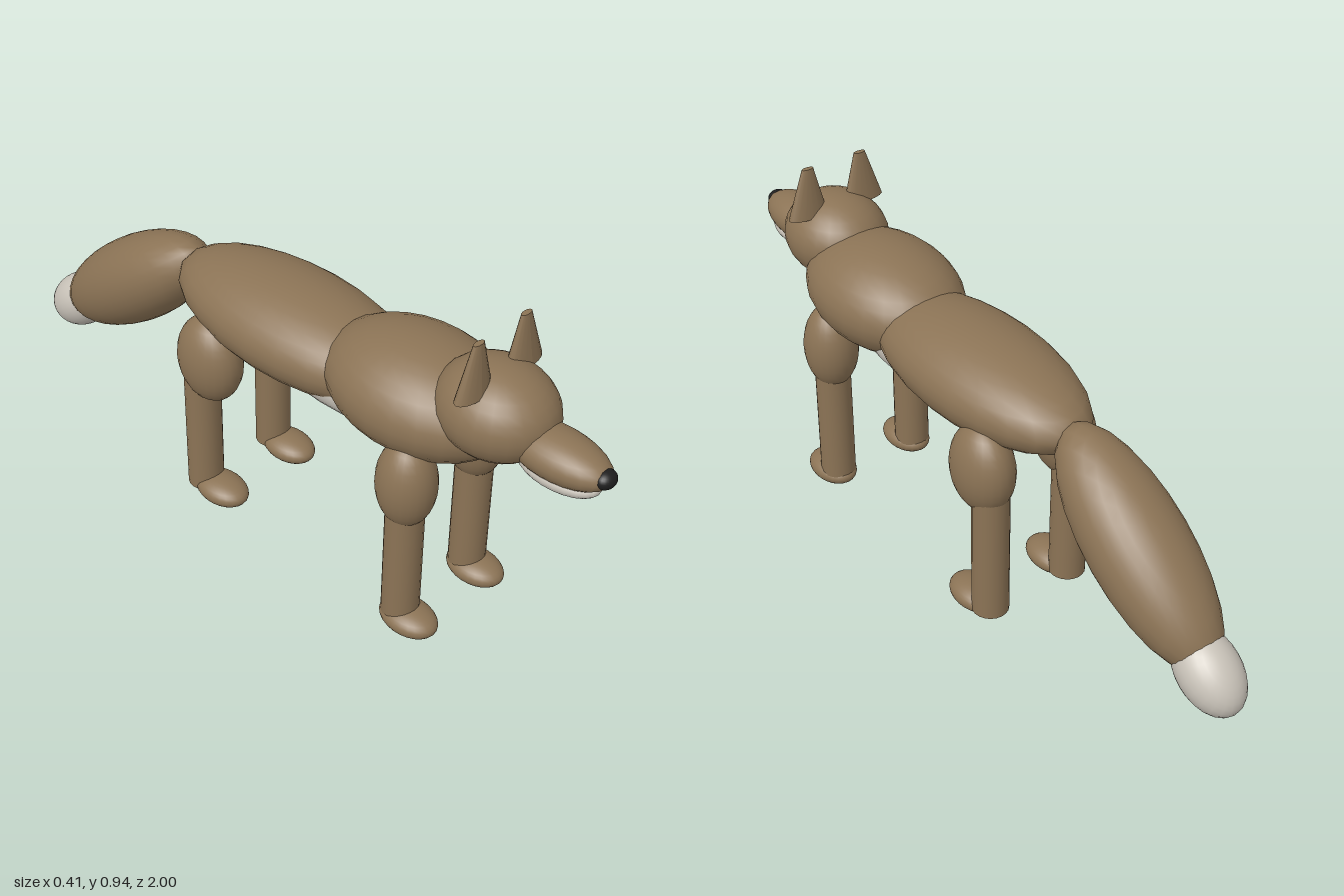
import * as THREE from 'three';

const fur = new THREE.MeshStandardMaterial({ name: 'brownFur', color: 0x8b7355 });
const pale = new THREE.MeshStandardMaterial({ name: 'paleFur', color: 0xc8c2b8 });
const black = new THREE.MeshStandardMaterial({ name: 'blackNose', color: 0x1e1e1e });

export function createModel() {
  const model = new THREE.Group();
  model.name = 'fox';

  const add = (name, geometry, material, [x, y, z]) => {
    const mesh = new THREE.Mesh(geometry, material);
    mesh.name = name;
    mesh.position.set(x, y, z);
    model.add(mesh);
    return mesh;
  };
  // Ellipsoid with the given centre and radii, tilted about x
  const blob = (name, material, centre, radii, tilt = 0) => {
    const geometry = new THREE.SphereGeometry(1, 24, 16).scale(...radii);
    add(name, geometry, material, centre).rotation.x = tilt;
  };

  // Trunk
  blob('body', fur, [0, 0.62, 0], [0.18, 0.125, 0.4]);
  blob('chest', fur, [0, 0.645, 0.425], [0.19, 0.145, 0.27]);
  blob('belly', pale, [0, 0.58, 0.2], [0.132, 0.092, 0.34]);

  // Head
  blob('head', fur, [0, 0.717, 0.66], [0.139, 0.121, 0.16]);
  blob('muzzle', fur, [0, 0.685, 0.84], [0.075, 0.058, 0.15]);
  blob('lowerJaw', pale, [0, 0.641, 0.85], [0.063, 0.034, 0.115]);
  blob('nose', black, [0, 0.69, 0.975], [0.03, 0.023, 0.025]);

  // Tail, sloping down and back
  const slope = -0.64;
  blob('tail', fur, [0, 0.446, -0.63], [0.13, 0.124, 0.34], slope);
  blob('tailTip', pale, [0, 0.245, -0.895], [0.08, 0.08, 0.12], slope);

  for (const [side, s] of [['left', 1], ['right', -1]]) {
    // Flattened, blunt-tipped ear leaning slightly inward
    const ear = new THREE.CylinderGeometry(0.0175, 0.06, 0.14, 16).scale(1, 1, 0.45);
    const p = ear.attributes.position;
    for (let i = 0; i < p.count; i++) if (p.getY(i) > 0) p.setX(i, p.getX(i) - s * 0.007);
    ear.computeVertexNormals();
    add(side + 'Ear', ear, fur, [s * 0.09, 0.87, 0.657]);

    // Legs: upper mass, straight shank and paw
    const legs = [
      { name: 'Front', hip: 0.51, width: 0.08, shank: 0.51, paw: 0.54 },
      { name: 'Hind', hip: -0.185, width: 0.102, shank: -0.22, paw: -0.155 },
    ];
    for (const leg of legs) {
      const prefix = side + leg.name;
      blob(prefix + 'UpperLeg', fur, [s * 0.13, 0.473, leg.hip], [0.075, 0.128, leg.width]);
      add(prefix + 'Shank', new THREE.CylinderGeometry(0.05, 0.05, 0.41, 20), fur, [s * 0.13, 0.235, leg.shank]);
      blob(prefix + 'Paw', fur, [s * 0.13, 0.037, leg.paw], [0.06, 0.037, 0.086]);
    }
  }
  return model;
}
